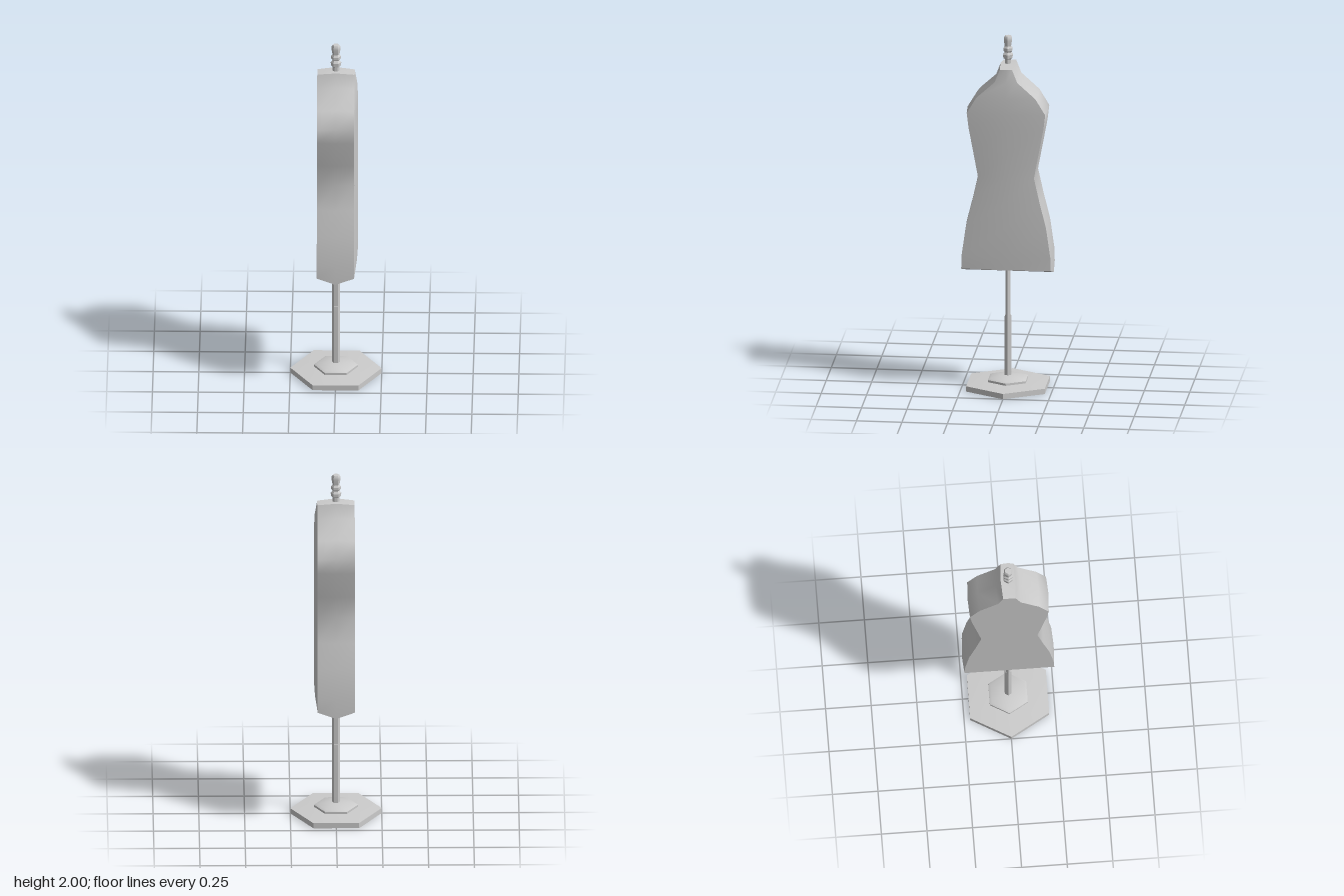
import * as THREE from 'three';
import { toCreasedNormals } from 'three/addons/utils/BufferGeometryUtils.js';

const material = new THREE.MeshStandardMaterial({ color: 0xcccccc });

// Six-sided turned part from [radius, y] points, corners on the x axis
function hexTurned(name, points, depth = 1) {
  const profile = points.map(([r, y]) => new THREE.Vector2(r, y));
  const geometry = new THREE.LatheGeometry(profile, 6).rotateY(Math.PI / 2).scale(1, 1, depth);
  const mesh = new THREE.Mesh(toCreasedNormals(geometry.toNonIndexed(), 0.6), material);
  mesh.name = name;
  return mesh;
}

// Torso rows: height, half width in z, bulge of the +x panel
const rows = [
  [0.66, 0.252, 0.115],
  [0.77, 0.25, 0.12],
  [0.94, 0.226, 0.12],
  [1.08, 0.191, 0.12],
  [1.22, 0.16, 0.12],
  [1.35, 0.184, 0.12],
  [1.5, 0.212, 0.12],
  [1.59, 0.222, 0.12],
  [1.68, 0.168, 0.12],
  [1.77, 0.068, 0.118],
  [1.845, 0.04, 0.105],
];

// Seven-cornered outline of one row, counter-clockwise from above
function outline([y, half, bulge], i) {
  const edge = half - 0.006;
  const edgeY = i === 0 ? 0.695 : i === rows.length - 1 ? 1.834 : i > 6 ? y - 0.008 : y;
  return [
    [-0.102, edgeY, edge], [0, y, half], [0.102, edgeY, edge], [bulge, edgeY, 0],
    [0.102, edgeY, -edge], [0, y, -half], [-0.102, edgeY, -edge],
  ];
}

function createTorso() {
  const rings = rows.map(outline);
  const positions = [];
  const face = (a, b, c, d) => {
    positions.push(...a, ...b, ...c);
    if (d) positions.push(...a, ...c, ...d);
  };
  // Side walls
  for (let i = 0; i < rings.length - 1; i++) {
    const low = rings[i], high = rings[i + 1];
    for (let j = 0; j < 7; j++) {
      const k = (j + 1) % 7;
      face(low[j], low[k], high[k], high[j]);
    }
  }
  // Ridged neck top and underside
  const [a, b, c, d, e, f, g] = rings[rings.length - 1];
  face(a, b, f, g);
  face(b, c, e, f);
  face(c, d, e);
  const [p, q, r, s, t, u, v] = rings[0];
  face(v, u, q, p);
  face(u, t, r, q);
  face(t, s, r);

  const geometry = new THREE.BufferGeometry();
  geometry.setAttribute('position', new THREE.Float32BufferAttribute(positions, 3));
  const mesh = new THREE.Mesh(toCreasedNormals(geometry, 0.75), material);
  mesh.name = 'torso';
  return mesh;
}

export function createModel() {
  const group = new THREE.Group();
  group.name = 'dressForm';
  group.add(
    // Stand
    hexTurned('base', [[0, 0], [0.25, 0], [0.25, 0.03], [0.12, 0.038], [0, 0.038]]),
    hexTurned('baseHub', [[0.12, 0.035], [0.12, 0.05], [0.105, 0.057], [0.05, 0.067], [0, 0.07]]),
    hexTurned('lowerPole', [[0.022, 0.05], [0.022, 0.38], [0.02, 0.41], [0, 0.41]], 0.95),
    hexTurned('upperPole', [[0.022, 0.05], [0.022, 0.72]], 0.7),
    // Body
    createTorso(),
    // Finial on the neck
    hexTurned('neckFinial', [
      [0.018, 1.83], [0.018, 1.868], [0.028, 1.875], [0.029, 1.895], [0.019, 1.908],
      [0.027, 1.917], [0.027, 1.932], [0.019, 1.942], [0.025, 1.975], [0.025, 1.99],
      [0.018, 2], [0, 2],
    ]),
  );
  return group;
}
